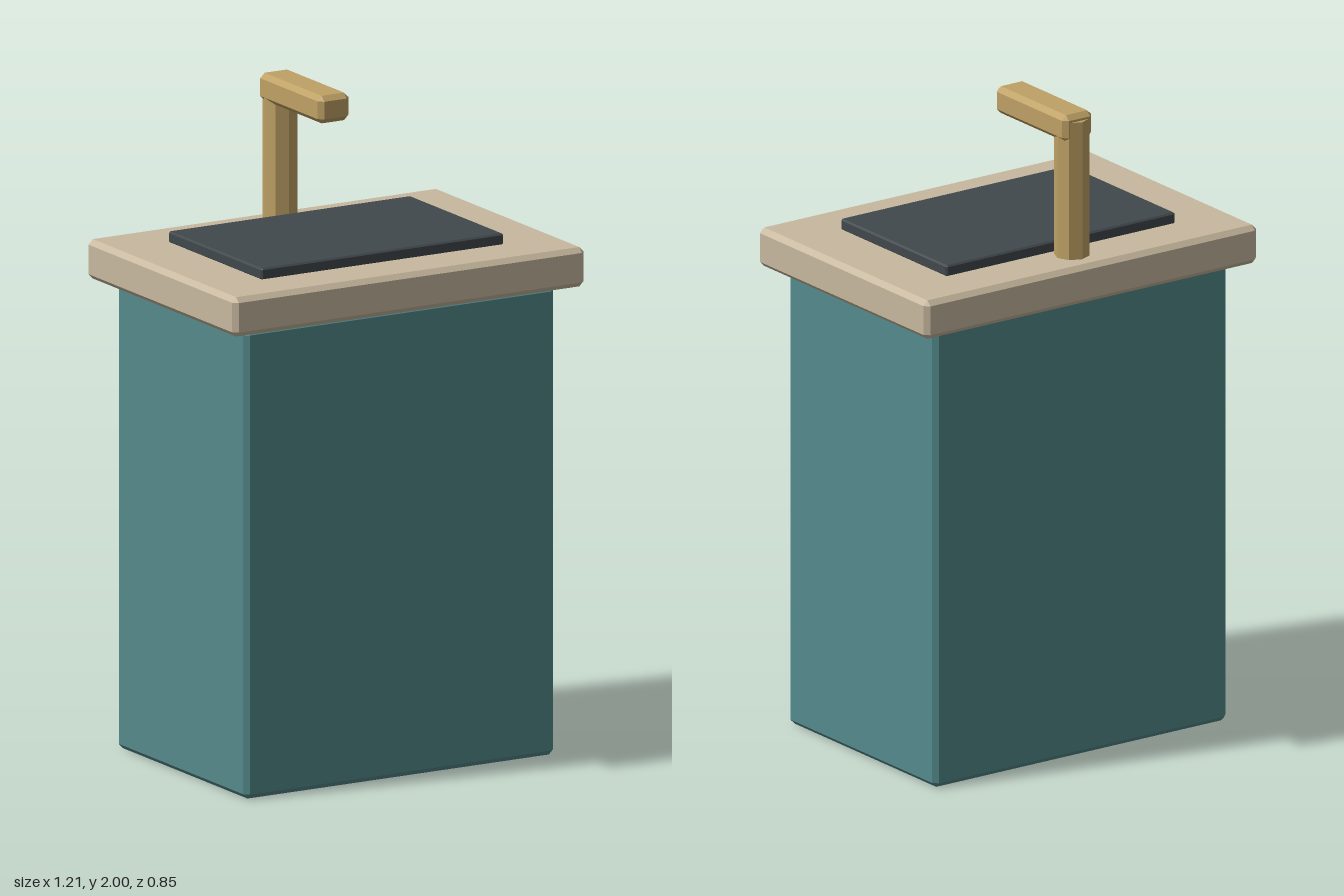
import * as THREE from 'three';
import { ConvexGeometry } from 'three/addons/geometries/ConvexGeometry.js';

// Box with every edge cut by a chamfer of size c
function chamferBox(w, h, d, c) {
  const [x, y, z] = [w / 2, h / 2, d / 2];
  const points = [];
  for (const sx of [-1, 1]) for (const sy of [-1, 1]) for (const sz of [-1, 1]) {
    points.push(
      new THREE.Vector3(sx * x, sy * (y - c), sz * (z - c)),
      new THREE.Vector3(sx * (x - c), sy * y, sz * (z - c)),
      new THREE.Vector3(sx * (x - c), sy * (y - c), sz * z),
    );
  }
  return new ConvexGeometry(points);
}

function flatMaterial(name, color) {
  const material = new THREE.MeshStandardMaterial({ color, flatShading: true });
  material.name = name;
  return material;
}

export function createModel() {
  const model = new THREE.Group();
  model.name = 'washStand';

  const teal = flatMaterial('teal', 0x558a8c);
  const stone = flatMaterial('stone', 0xc8b99f);
  const slate = flatMaterial('slate', 0x40484c);
  const brass = flatMaterial('brass', 0xbfa165);

  function add(name, geometry, material, x, y, z) {
    const mesh = new THREE.Mesh(geometry, material);
    mesh.name = name;
    mesh.position.set(x, y, z);
    model.add(mesh);
  }

  // Cabinet body, worktop and the dark basin panel
  add('cabinet', chamferBox(1.07, 1.43, 0.744, 0.015), teal, 0, 0.715, 0);
  add('worktop', chamferBox(1.214, 0.12, 0.854, 0.015), stone, 0, 1.49, 0);
  add('basin', chamferBox(0.836, 0.036, 0.536, 0.005), slate, 0, 1.565, 0);

  // Tap: octagonal post with a square spout reaching forward
  add('tapPost', new THREE.CylinderGeometry(0.053, 0.053, 0.43, 8), brass, 0, 1.763, -0.322);
  add('tapSpout', chamferBox(0.107, 0.084, 0.358, 0.015), brass, 0, 1.958, -0.182);

  return model;
}
